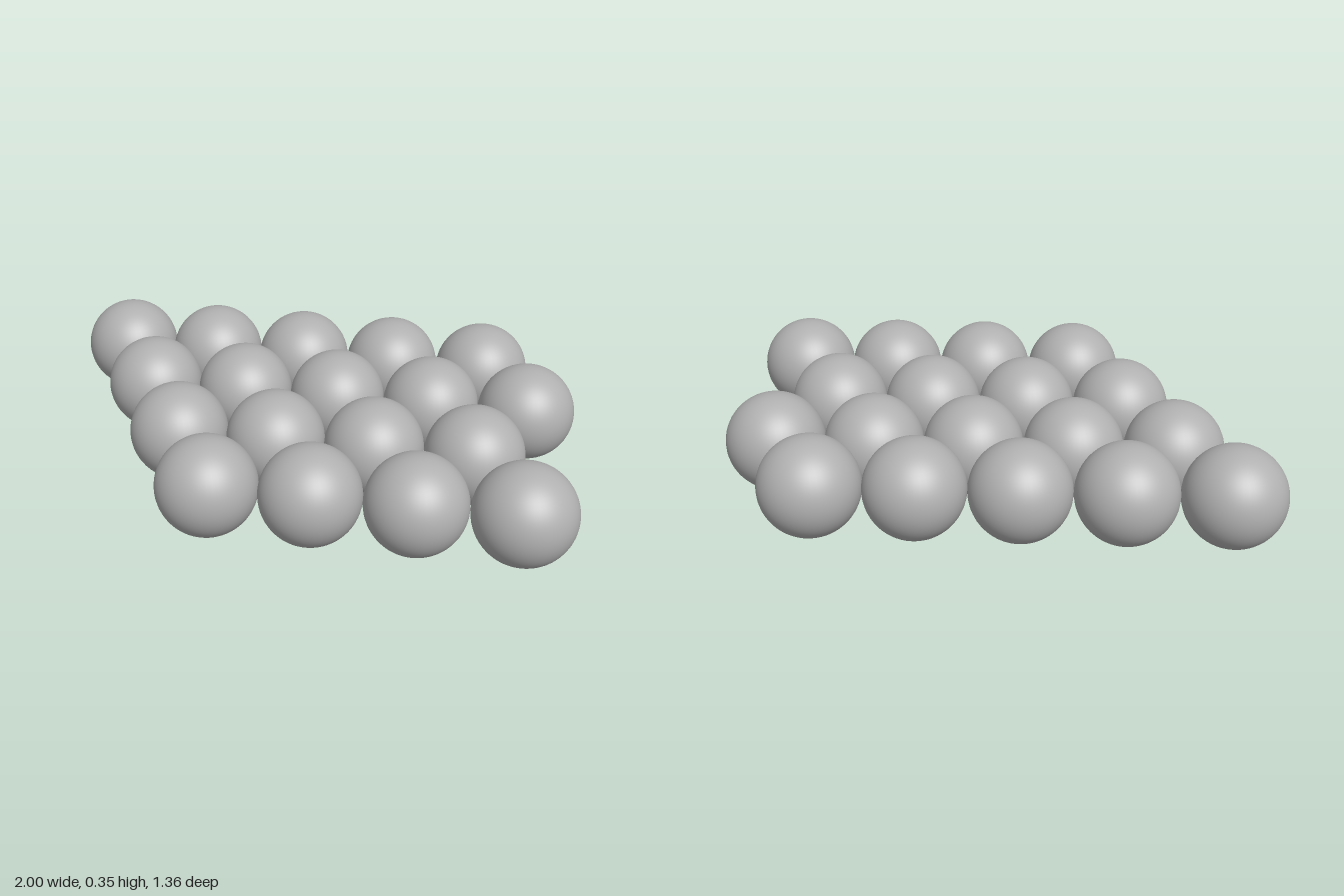
import * as THREE from 'three';

const RADIUS = 2 / 11;      // five and a half ball widths span the model
const CENTER_Y = 0.17;      // lower than the radius, so each ball has a flat foot
const PITCH = RADIUS * 2;

// Rows from back to front: z, first ball's x in half pitches, number of balls
const ROWS = [
  { z: -0.5, start: -4.5, count: 5 },
  { z: -0.184, start: -3.5, count: 5 },
  { z: 0.157, start: -2.5, count: 4 },
  { z: 0.498, start: -1.5, count: 4 },
];

export function createModel() {
  const model = new THREE.Group();
  model.name = 'ballArray';

  const grey = new THREE.MeshStandardMaterial({ color: 0xb0b0b0 });
  grey.name = 'grey';

  // Sphere cut off at the ground, and the disc that closes it
  const ballGeometry = new THREE.SphereGeometry(
    RADIUS, 48, 32, 0, Math.PI * 2, 0, Math.acos(-CENTER_Y / RADIUS));
  const footRadius = Math.sqrt(RADIUS ** 2 - CENTER_Y ** 2);
  const footGeometry = new THREE.CircleGeometry(footRadius, 48).rotateX(Math.PI / 2);

  ROWS.forEach(({ z, start, count }, r) => {
    const row = new THREE.Group();
    row.name = `row${r + 1}`;
    for (let i = 0; i < count; i++) {
      const ball = new THREE.Group();
      ball.name = `ball${i + 1}`;
      ball.position.set(start * RADIUS + i * PITCH, 0, z);

      const body = new THREE.Mesh(ballGeometry, grey);
      body.name = 'ballBody';
      body.position.y = CENTER_Y;

      const foot = new THREE.Mesh(footGeometry, grey);
      foot.name = 'flatFoot';

      ball.add(body, foot);
      row.add(ball);
    }
    model.add(row);
  });

  return model;
}
